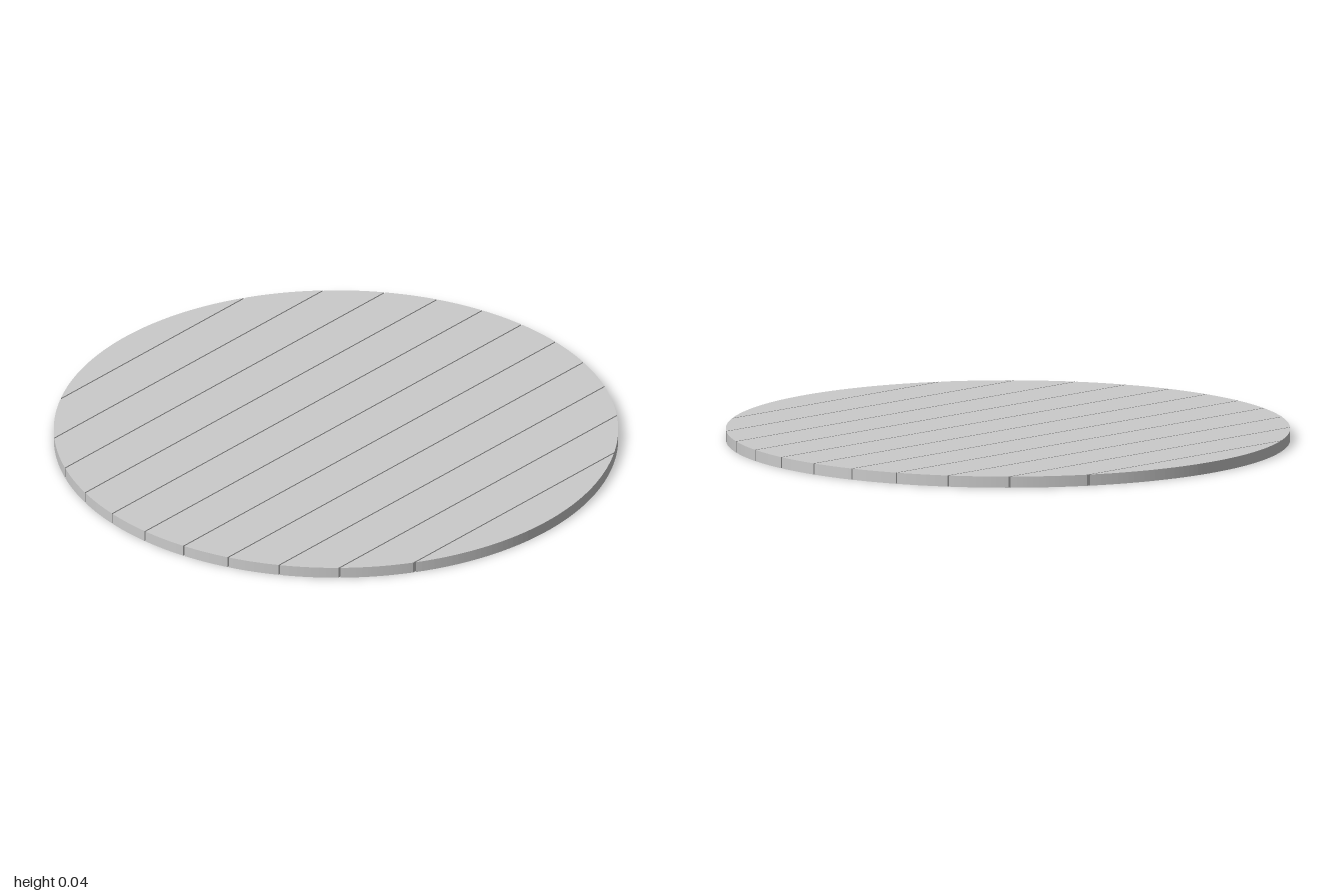
import * as THREE from 'three';

const RADIUS = 1;
const HEIGHT = 0.04;
const GAP = 0.005;
const SEAM_START = -0.872; // first seam between planks
const PITCH = 0.172; // plank width including its seam
const SEAMS = 11;

// Plank outline: straight sides at x0 and x1, both ends cut by the circle
function plankGeometry(x0, x1) {
  const a0 = Math.acos(x0 / RADIUS);
  const a1 = Math.acos(x1 / RADIUS);
  const shape = new THREE.Shape();
  shape.absarc(0, 0, RADIUS, a1, a0, false);
  shape.absarc(0, 0, RADIUS, 2 * Math.PI - a0, 2 * Math.PI - a1, false);
  shape.closePath();
  const geometry = new THREE.ExtrudeGeometry(shape, {
    depth: HEIGHT, bevelEnabled: false, curveSegments: 12,
  });
  return geometry.rotateX(-Math.PI / 2); // lay flat, bottom on y = 0
}

export function createModel() {
  const group = new THREE.Group();
  group.name = 'roundPlankTop';
  const material = new THREE.MeshStandardMaterial({ color: 0xcccccc });

  // Row of planks side by side, separated by narrow seams
  for (let i = 0; i <= SEAMS; i++) {
    const left = i === 0 ? -RADIUS : SEAM_START + (i - 1) * PITCH + GAP / 2;
    const right = i === SEAMS ? RADIUS : SEAM_START + i * PITCH - GAP / 2;
    const plank = new THREE.Mesh(plankGeometry(left, right), material);
    plank.name = `plank${i + 1}`;
    group.add(plank);
  }
  return group;
}
